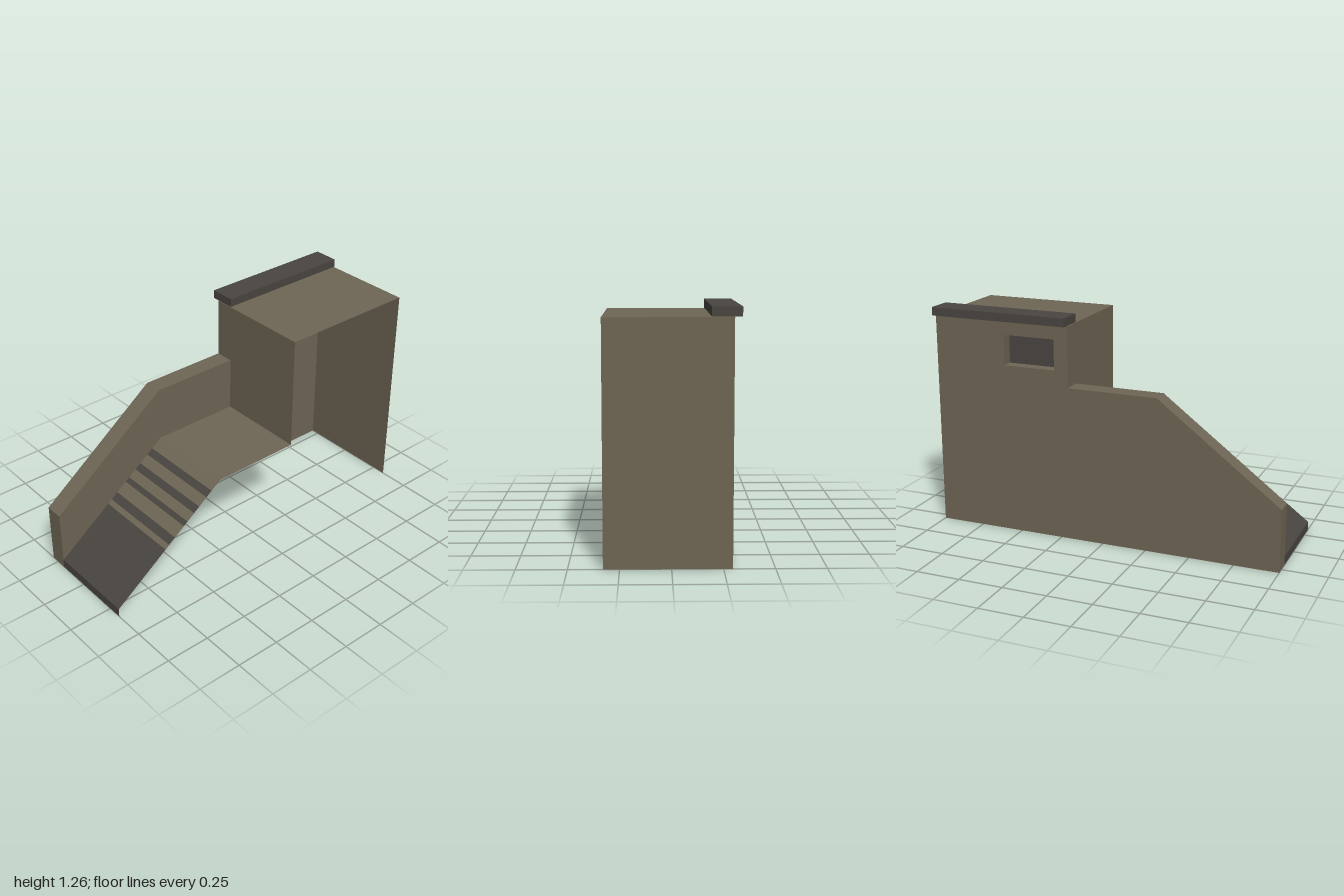
import * as THREE from 'three';

const BACK = -0.295, INNER = -0.19, FRONT = 0.33;

// Open sheet: a polyline in x,y swept along z
function sweep(points, z0, z1) {
  const pos = [];
  for (let i = 0; i < points.length - 1; i++) {
    const [ax, ay] = points[i], [bx, by] = points[i + 1];
    pos.push(ax, ay, z0, ax, ay, z1, bx, by, z1);
    pos.push(ax, ay, z0, bx, by, z1, bx, by, z0);
  }
  const g = new THREE.BufferGeometry();
  g.setAttribute('position', new THREE.Float32BufferAttribute(pos, 3));
  g.computeVertexNormals();
  return g;
}

const toVectors = (pts) => pts.map(([x, y]) => new THREE.Vector2(x, y));

// Flat panel facing +z or -z
function panel(points, z, hole) {
  const shape = new THREE.Shape(toVectors(points));
  if (hole) shape.holes.push(new THREE.Path(toVectors(hole)));
  const g = new THREE.ShapeGeometry(shape);
  g.translate(0, 0, z);
  return g;
}

export function createModel() {
  const model = new THREE.Group();
  model.name = 'rampBuilding';
  const stone = new THREE.MeshStandardMaterial({ color: 0x6e6554, side: THREE.DoubleSide });
  stone.name = 'khakiStone';
  const dark = new THREE.MeshStandardMaterial({ color: 0x494541, side: THREE.DoubleSide });
  dark.name = 'darkGrey';

  const add = (name, geometry, material) => {
    const mesh = new THREE.Mesh(geometry, material);
    mesh.name = name;
    model.add(mesh);
    return mesh;
  };

  // Back wall with its window opening
  const win = [[0.28, 0.96], [0.58, 0.96], [0.58, 1.13], [0.28, 1.13]];
  const wall = [[-1, 0], [1, 0], [1, 1.207], [0.2, 1.207], [0.2, 0.87], [-0.31, 0.87], [-1, 0.35]];
  const back = panel(wall, BACK, win);
  // turn the face outward
  const idx = back.index;
  for (let i = 0; i < idx.count; i += 3) {
    const b = idx.getX(i + 1);
    idx.setX(i + 1, idx.getX(i + 2));
    idx.setX(i + 2, b);
  }
  back.computeVertexNormals();
  add('backWall', back, stone);

  // Recessed window
  const paneZ = BACK + 0.065;
  add('windowReveal', sweep([...win, win[0]], paneZ, BACK), stone);
  add('windowPane', panel(win, paneZ), dark);

  // Parapet beside the ramp and landing
  add('parapetFace', panel([[-1, 0.05], [-0.31, 0.56], [0.2, 0.56], [0.2, 0.87], [-0.31, 0.87], [-1, 0.35]], INNER), stone);
  add('parapetCap', sweep([[0.2, 0.87], [-0.31, 0.87], [-1, 0.35], [-1, 0]], INNER, BACK), stone);

  // Tower: side wall, flat top and the wall above the landing
  add('towerShell', sweep([[1, 0], [1, 1.207], [0.2, 1.207], [0.2, 0.87]], FRONT, BACK), stone);
  add('towerLowerWall', sweep([[0.2, 0.87], [0.2, 0.56]], FRONT, INNER), stone);
  add('landing', sweep([[0.2, 0.56], [-0.31, 0.56]], FRONT, INNER), stone);

  // Ramp in alternating dark and stone bands
  const rampY = (x) => 0.05 + (x + 1) * (0.51 / 0.69);
  const stops = [-1, -0.685, -0.66, -0.62, -0.56, -0.535, -0.49, -0.455, -0.405, -0.37, -0.31];
  for (let i = 0; i < stops.length - 1; i++) {
    const a = stops[i], b = stops[i + 1];
    add('rampBand' + (i + 1), sweep([[b, rampY(b)], [a, rampY(a)]], FRONT, INNER), i % 2 ? stone : dark);
  }
  add('rampLip', sweep([[-1, 0.05], [-1, 0]], FRONT, INNER), dark);

  // Coping along the tower's back edge
  const coping = add('coping', new THREE.BoxGeometry(0.8, 0.047, 0.145), dark);
  coping.position.set(0.6, 1.2335, -0.2595);

  return model;
}
